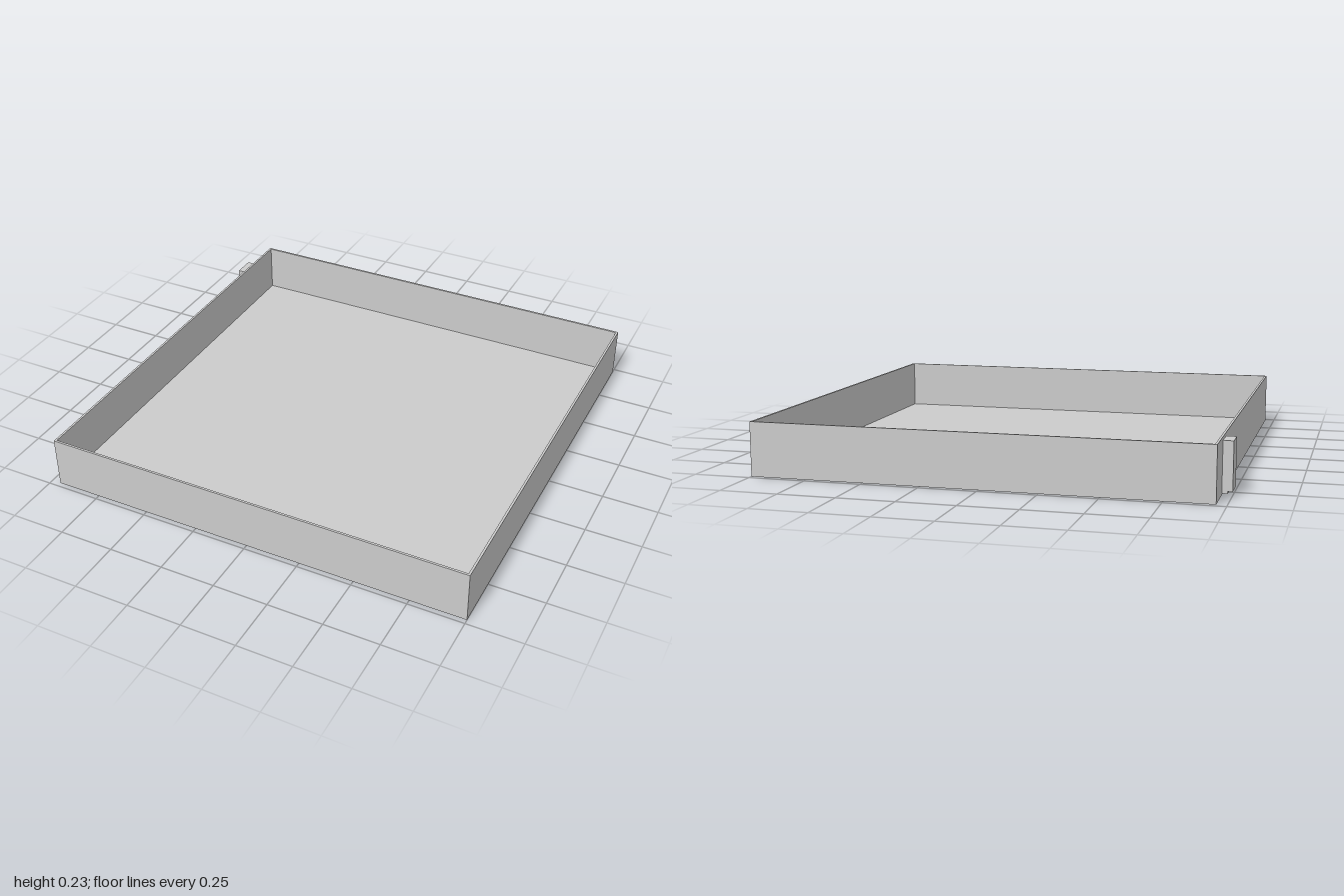
import * as THREE from 'three';

const material = new THREE.MeshStandardMaterial({ color: 0xcccccc });

// Extrudes a 2D outline, flat shaded by its own hard edges
function extrude(name, shape, depth) {
  const geometry = new THREE.ExtrudeGeometry(shape, { depth, bevelEnabled: false });
  const mesh = new THREE.Mesh(geometry, material);
  mesh.name = name;
  return mesh;
}

function rectangle(PathType, x0, y0, x1, y1) {
  return new PathType([[x0, y0], [x1, y0], [x1, y1], [x0, y1]].map(p => new THREE.Vector2(...p)));
}

export function createModel() {
  const model = new THREE.Group();
  model.name = 'tray';
  const left = -0.957, right = 1, half = 0.978, height = 0.235, wall = 0.01, floorTop = 0.008;

  // Thin wall running round the tray
  const outline = rectangle(THREE.Shape, left, -half, right, half);
  outline.holes.push(rectangle(THREE.Path, left + wall, -half + wall, right - wall, half - wall));
  const rim = extrude('rim', outline, height);
  rim.rotation.x = -Math.PI / 2;
  model.add(rim);

  // Floor panel
  const floor = new THREE.Mesh(
    new THREE.BoxGeometry(right - left - 2 * wall, floorTop, 2 * (half - wall)), material);
  floor.name = 'floor';
  floor.position.set((left + right) / 2, floorTop / 2, 0);
  model.add(floor);

  // Side latch, set through the wall, with a small step under its outer edge
  const profile = [[-1, 0.015], [-0.98, 0.015], [-0.98, 0.006], [left + wall, 0.006],
    [left + wall, 0.22], [-1, 0.22]];
  const latch = extrude('latch', new THREE.Shape(profile.map(p => new THREE.Vector2(...p))), 0.1);
  latch.position.z = -0.81;
  model.add(latch);

  return model;
}
